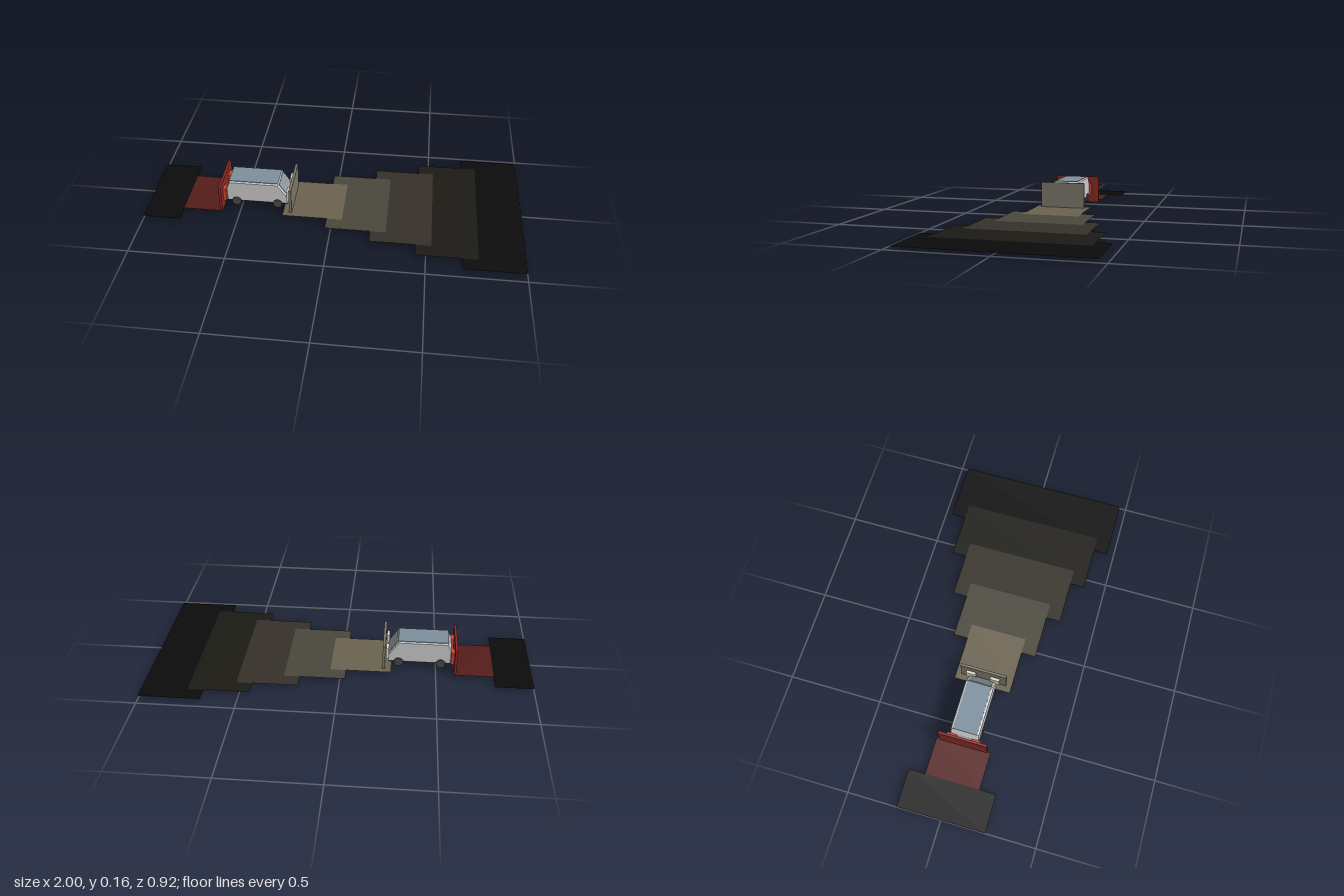
import * as THREE from 'three';

const mat = (color) => new THREE.MeshStandardMaterial({ color, flatShading: true });

export function createModel() {
  const model = new THREE.Group();
  model.name = 'vanWithLightZones';

  const add = (parent, name, geometry, color) => {
    const mesh = new THREE.Mesh(geometry, mat(color));
    mesh.name = name;
    parent.add(mesh);
    return mesh;
  };
  // box given by its limits on each axis
  const box = (parent, name, color, x0, x1, y0, y1, z0, z1) => {
    const mesh = add(parent, name, new THREE.BoxGeometry(x1 - x0, y1 - y0, z1 - z0), color);
    mesh.position.set((x0 + x1) / 2, (y0 + y1) / 2, (z0 + z1) / 2);
    return mesh;
  };
  // flat ground sheet seen from both sides
  const sheet = (name, color, x0, x1, halfZ, y) => {
    const mesh = add(model, name, new THREE.PlaneGeometry(x1 - x0, halfZ * 2), color);
    mesh.material.side = THREE.DoubleSide;
    mesh.rotation.x = -Math.PI / 2;
    mesh.position.set((x0 + x1) / 2, y, 0);
  };

  // front light zones, wider and darker with distance
  const tones = [0x6b6250, 0x4a473c, 0x353129, 0x1b1a15, 0x0b0b0b];
  tones.forEach((tone, i) => {
    const x0 = -0.265 + i * 0.2365;
    sheet('frontZone' + (i + 1), tone, x0, x0 + 0.319, 0.154 + i * 0.077, 0.0192 - i * 0.0004);
  });

  // rear light zones
  sheet('rearZoneNear', 0x541d1a, -0.8, -0.6, 0.147, 0.0155);
  sheet('rearZoneFar', 0x0b0b0b, -1, -0.8, 0.235, 0.0155);

  // upright panels before and behind the van
  box(model, 'rearPanel', 0x8a2b22, -0.607, -0.594, 0, 0.155, -0.129, 0.129);
  box(model, 'frontPanel', 0x7b776a, -0.232, -0.218, 0.018, 0.16, -0.124, 0.124);

  const van = new THREE.Group();
  van.name = 'van';
  model.add(van);

  // body: side profile extruded across the width with a chamfered edge
  const profile = new THREE.Shape([
    [-0.574, 0.042], [-0.248, 0.042], [-0.244, 0.068], [-0.300, 0.152],
    [-0.558, 0.152], [-0.574, 0.115],
  ].map(([x, y]) => new THREE.Vector2(x, y)));
  const body = new THREE.ExtrudeGeometry(profile, {
    depth: 0.132, bevelEnabled: true, bevelSegments: 1, bevelThickness: 0.008, bevelSize: 0.004,
  });
  body.translate(0, 0, -0.066);
  add(van, 'body', body, 0xbcbcbc);

  box(van, 'roof', 0x7d8f9c, -0.562, -0.298, 0.154, 0.159, -0.064, 0.064);
  box(van, 'floorPan', 0x5a5a5a, -0.572, -0.25, 0.034, 0.041, -0.07, 0.07);

  // windscreen lying on the sloped nose
  const screen = box(van, 'windscreen', 0x8d979d, -0.31, -0.226, 0.108, 0.114, -0.06, 0.06);
  screen.position.set(-0.2700, 0.1130, 0);
  screen.rotation.z = -Math.atan2(0.084, 0.056);

  // wheels and lamps, mirrored
  for (const side of [-1, 1]) {
    for (const x of [-0.525, -0.302]) {
      const wheel = add(van, 'wheel', new THREE.CylinderGeometry(0.024, 0.024, 0.02, 20), 0x4a4a4a);
      wheel.rotation.x = Math.PI / 2;
      wheel.position.set(x, 0.036, side * 0.071);
    }
    const lamp = (name, color, x0, x1, y0, y1) =>
      box(van, name, color, x0, x1, y0, y1, side * 0.065 - 0.025, side * 0.065 + 0.025);
    lamp('headlight', 0xdedacb, -0.25, -0.235, 0.06, 0.124);
    lamp('tailLight', 0xd0432f, -0.594, -0.577, 0.042, 0.115);
  }
  return model;
}
